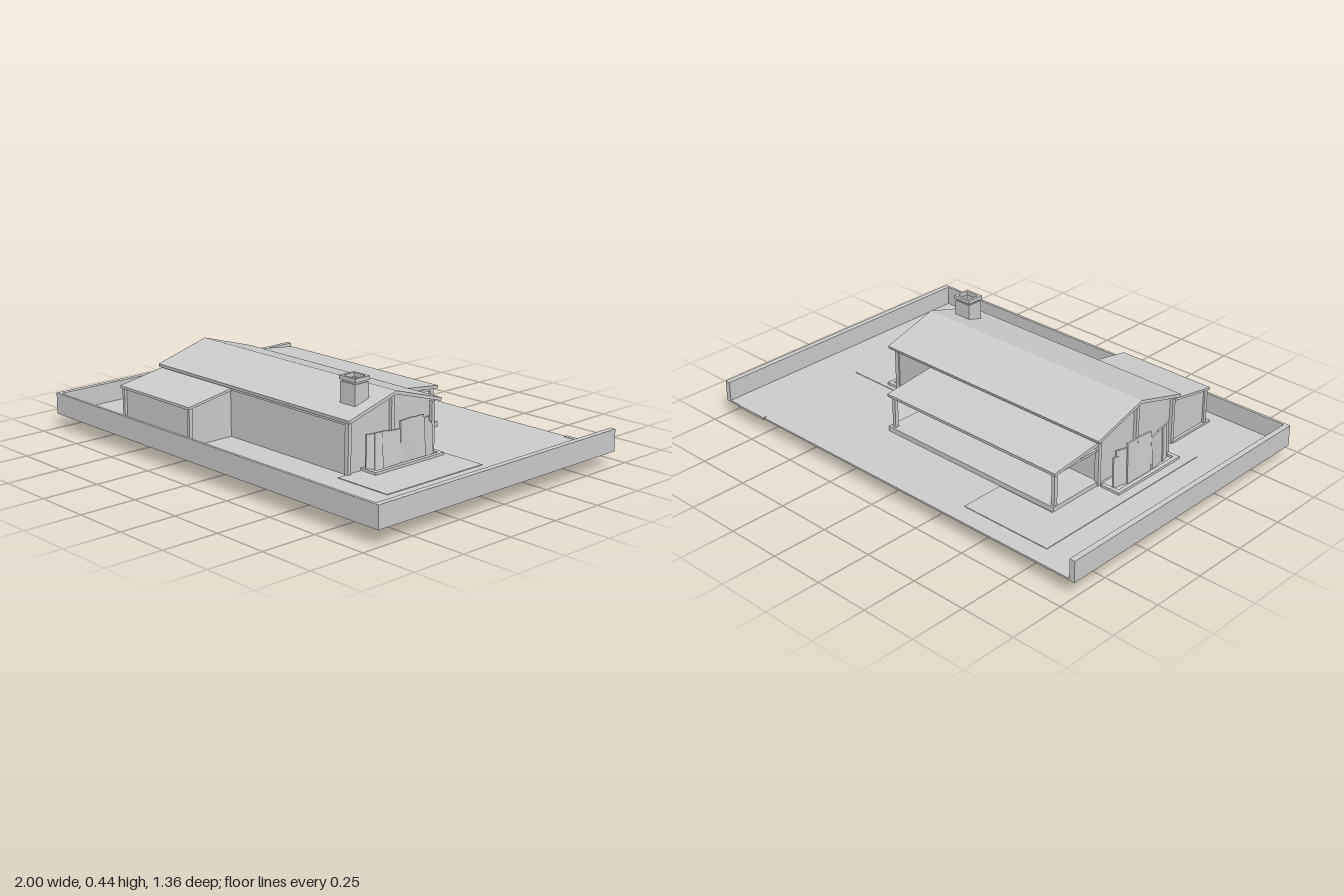
import * as THREE from 'three';

export function createModel() {
  const model = new THREE.Group();
  const mat = new THREE.MeshStandardMaterial({ color: 0xcccccc, flatShading: true, side: THREE.DoubleSide });

  const add = (name, geometry, parent = model) => {
    const mesh = new THREE.Mesh(geometry, mat);
    mesh.name = name;
    parent.add(mesh);
    return mesh;
  };
  const box = (name, x0, x1, y0, y1, z0, z1) => {
    const g = new THREE.BoxGeometry(x1 - x0, y1 - y0, z1 - z0);
    return add(name, g.translate((x0 + x1) / 2, (y0 + y1) / 2, (z0 + z1) / 2));
  };
  // Extrudes a [z, y] outline along x
  const prism = (name, x0, x1, outline) => {
    const shape = new THREE.Shape(outline.map(([z, y]) => new THREE.Vector2(-z, y)));
    const g = new THREE.ExtrudeGeometry(shape, { depth: x1 - x0, bevelEnabled: false });
    return add(name, g.rotateY(Math.PI / 2).translate(x0, 0, 0));
  };

  // Plot with a boundary wall on three sides, open at the back
  box('ground', -1, 1, 0.065, 0.073, -0.675, 0.675);
  box('frontBoundaryWall', -1, 1, 0.065, 0.16, 0.663, 0.675);
  for (const s of [-1, 1]) {
    const x = s * 0.9875;
    box('sideBoundaryWall', x - 0.0125, x + 0.0125, 0.065, 0.16, -0.675, 0.675);
  }
  box('gateStep', 0.75, 0.92, 0.065, 0.075, -0.68, -0.66);

  // Paving
  box('rightPaving', -0.79, -0.64, 0.07, 0.076, -0.59, 0.33);
  box('backPaving', -0.64, -0.36, 0.07, 0.076, -0.59, -0.39);
  box('leftPaving', 0.5, 0.77, 0.07, 0.076, -0.13, 0.4);

  // Main house with gabled ends
  prism('houseWalls', -0.63, 0.497, [
    [0.35, 0.07], [0.35, 0.294], [0.113, 0.359], [-0.12, 0.289], [-0.12, 0.07],
  ]);
  prism('mainRoof', -0.66, 0.53, [
    [0.37, 0.302], [0.113, 0.375], [-0.148, 0.297],
    [-0.144, 0.284], [0.113, 0.36], [0.368, 0.288],
  ]);
  for (const [x0, x1] of [[-0.645, -0.625], [0.492, 0.512]]) {
    box('gableCentrePost', x0, x1, 0.07, 0.358, 0.105, 0.121);
    box('gableCornerPost', x0, x1, 0.07, 0.291, 0.34, 0.356);
    box('gableCornerPost', x0, x1, 0.07, 0.286, -0.126, -0.11);
  }
  box('frontEaveBeam', -0.645, 0.515, 0.276, 0.29, 0.345, 0.357);

  // Chimney: four sides around an open flue, and a wider hollow cap
  const frame = (name, x, z, w, d, t, y0, y1) => {
    const shape = new THREE.Shape([
      [-w, -d], [w, -d], [w, d], [-w, d],
    ].map(([a, b]) => new THREE.Vector2(a / 2, b / 2)));
    shape.holes.push(new THREE.Path([
      [-1, -1], [-1, 1], [1, 1], [1, -1],
    ].map(([a, b]) => new THREE.Vector2(a * (w / 2 - t), b * (d / 2 - t)))));
    const g = new THREE.ExtrudeGeometry(shape, { depth: y1 - y0, bevelEnabled: false });
    add(name, g.rotateX(-Math.PI / 2).translate(x, y0, z));
  };
  frame('chimneyStack', 0.425, 0.24, 0.085, 0.075, 0.012, 0.325, 0.416);
  frame('chimneyNeck', 0.425, 0.24, 0.074, 0.064, 0.007, 0.416, 0.424);
  frame('chimneyCap', 0.425, 0.24, 0.09, 0.08, 0.012, 0.424, 0.44);

  // Front annex with a lean-to roof
  box('annexFloor', -0.65, -0.215, 0.07, 0.082, 0.35, 0.6);
  prism('annexWalls', -0.637, -0.2, [
    [0.35, 0.07], [0.35, 0.277], [0.565, 0.238], [0.565, 0.07],
  ]);
  prism('annexRoof', -0.652, -0.185, [
    [0.35, 0.276], [0.35, 0.287], [0.583, 0.246], [0.583, 0.235],
  ]);
  for (const x of [-0.645, -0.205]) box('annexPost', x, x + 0.014, 0.07, 0.238, 0.56, 0.577);

  // Open back terrace
  box('terraceDeck', -0.64, 0.285, 0.067, 0.095, -0.385, -0.12);
  prism('terraceRoof', -0.648, 0.28, [
    [-0.12, 0.268], [-0.12, 0.283], [-0.39, 0.252], [-0.388, 0.238],
  ]);
  box('terraceBeam', -0.635, 0.268, 0.228, 0.241, -0.375, -0.358);
  for (const x of [-0.635, 0.252]) {
    box('terracePost', x, x + 0.016, 0.09, 0.238, -0.375, -0.358);
    box('terraceSideBeam', x, x + 0.016, 0.231, 0.241, -0.365, -0.12);
  }

  // Curbed beds with an arc of upright, overlapping slabs at each gable end
  // Each slab: z, width, bottom, top, yaw
  const slabs = [
    [0.235, 0.08, 0.03, 0.225, -0.32],
    [0.205, 0.07, 0.0, 0.228, -0.12],
    [0.145, 0.085, 0.03, 0.225, -0.22],
    [0.075, 0.09, 0.025, 0.257, 0.1],
    [0.01, 0.085, 0.03, 0.255, 0.0],
    [-0.045, 0.072, 0.0, 0.235, 0.28],
    [-0.07, 0.05, 0.05, 0.21, 0.15],
  ];
  for (const s of [-1, 1]) {
    const inner = s > 0 ? 0.495 : 0.655, outer = s > 0 ? 0.582 : 0.748;
    const z0 = s > 0 ? -0.11 : -0.12, z1 = s > 0 ? 0.275 : 0.265;
    const strip = (a, b, c, d) =>
      box('bedCurb', Math.min(s * a, s * b), Math.max(s * a, s * b), 0.05, 0.087, c, d);
    strip(outer - 0.018, outer, z0, z1);
    strip(inner, outer, z0, z0 + 0.018);
    strip(inner, outer, z1 - 0.018, z1);

    for (const [z, w, y0, y1, yaw] of slabs) {
      const g = new THREE.BoxGeometry(0.009, y1 - y0, w);
      const p = g.attributes.position;
      // Taper the top a little
      for (let i = 0; i < p.count; i++) if (p.getY(i) > 0) p.setZ(i, p.getZ(i) * 0.85);
      const slab = add('uprightSlab', g);
      const bulge = 0.025 * (1 - ((z - 0.08) / 0.17) ** 2);
      slab.position.set(s * ((s > 0 ? 0.528 : 0.69) + bulge), (y0 + y1) / 2, z);
      slab.rotation.set(0, s * yaw, s * 0.05);
    }
  }
  return model;
}
